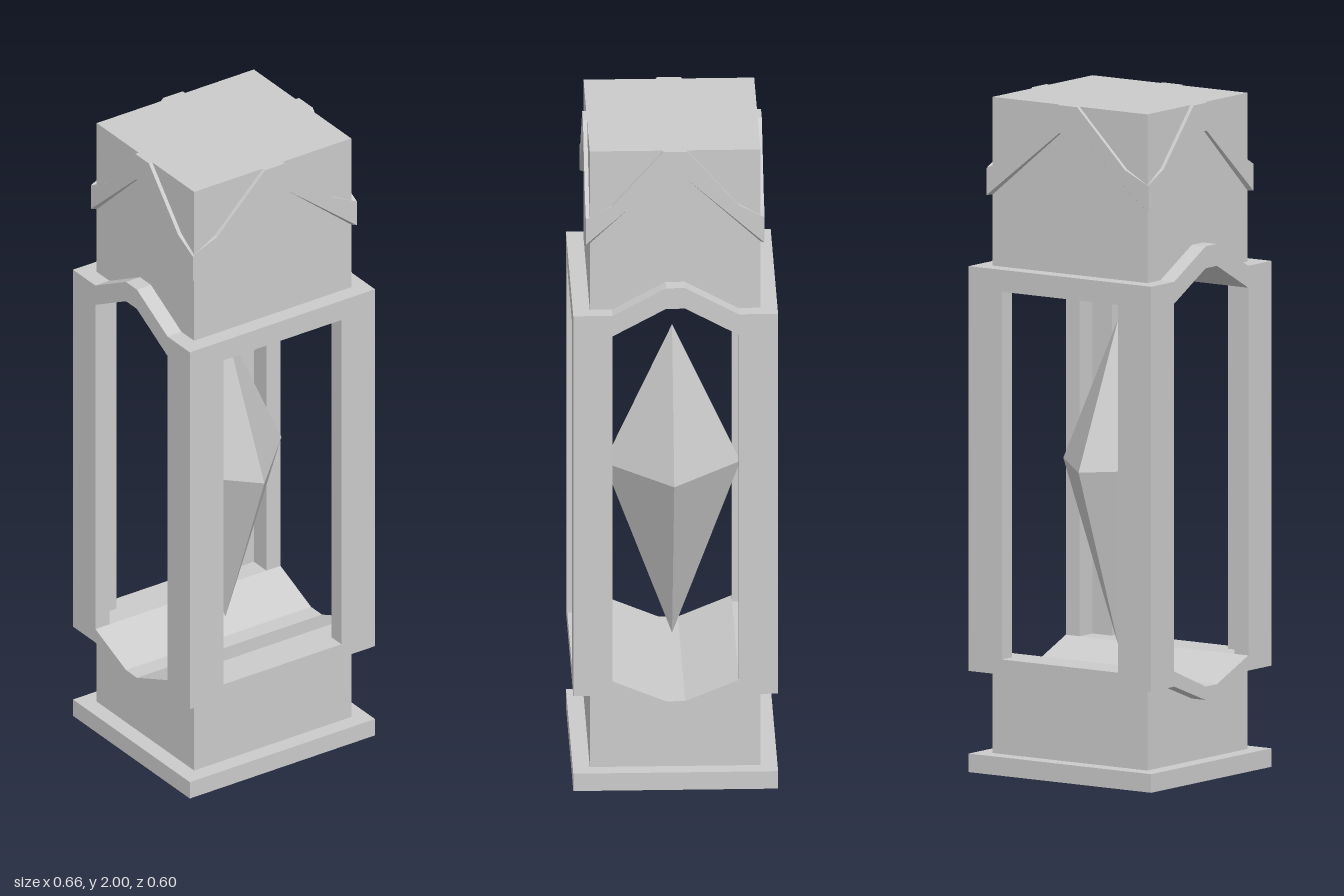
import * as THREE from 'three';

const material = new THREE.MeshStandardMaterial({ color: 0xcccccc, flatShading: true });

// Half sizes of the shaft (X, Z) and of the wider frame and plinth (FX, FZ)
const X = 0.28, Z = 0.25, FX = 0.33, FZ = 0.3;

// Adds the x-mirrored points to a right-hand outline running left to right
const mirrored = (half) => [...half.map(([x, y]) => [-x, y]).reverse(), ...half];
const toVectors = (points) => points.map(([x, y]) => new THREE.Vector2(x, y));

// Extrudes an outline, centred on z = 0
function slab(points, depth, hole) {
  const shape = new THREE.Shape(toVectors(points));
  if (hole) shape.holes.push(new THREE.Path(toVectors(hole)));
  const geometry = new THREE.ExtrudeGeometry(shape, { depth, bevelEnabled: false });
  return geometry.translate(0, 0, -depth / 2);
}

const rect = (w, y0, y1) => [[-w, y0], [w, y0], [w, y1], [-w, y1]];

// Flat line with a raised (or sunken) trapezoid in the middle
const bump = (end, yEnd, yMid) => mirrored([[0.028, yMid], [0.185, yEnd], [end, yEnd]]);

export function createModel() {
  const model = new THREE.Group();
  const add = (name, geometry) => {
    const mesh = new THREE.Mesh(geometry, material);
    mesh.name = name;
    model.add(mesh);
    return mesh;
  };

  // Plinth
  add('plinth', new THREE.BoxGeometry(2 * FX, 0.055, 2 * FZ).translate(0, 0.0275, 0));

  // Shaft blocks, with the floor and ceiling of the chamber shaped along x
  const lower = [[Z, 0.055], [-Z, 0.055], ...bump(Z, 0.345, 0.28)];
  const upper = [[Z, 2], [-Z, 2], ...bump(Z, 1.435, 1.52)];
  add('lowerBlock', slab(lower, 2 * X).rotateY(Math.PI / 2));
  add('upperBlock', slab(upper, 2 * X).rotateY(Math.PI / 2));

  // Frames around the open chamber
  const sideOutline = [...bump(Z, 0.3, 0.24), ...bump(Z, 1.5, 1.585).reverse()];
  const sideHole = [
    ...mirrored([[0.028, 0.28], [0.185, 0.345]]),
    ...mirrored([[0.028, 1.52], [0.185, 1.435]]).reverse(),
  ];
  for (const s of [1, -1]) {
    const front = slab(rect(FX, 0.3, 1.5), FZ - Z, rect(0.21, 0.345, 1.435));
    add(s > 0 ? 'frontFrame' : 'backFrame', front.translate(0, 0, s * (FZ + Z) / 2));
    const side = slab(sideOutline, FX - X, sideHole).rotateY(Math.PI / 2);
    add(s > 0 ? 'leftFrame' : 'rightFrame', side.translate(s * (FX + X) / 2, 0, 0));
  }

  // Chevron band around the top, mitred at the corners
  const chevron = (inner, outer, distance, turn) => {
    const top = mirrored([[0.035, 2], [inner * 0.74, 1.83], [outer, 1.79]]);
    const bottom = mirrored([[0.03, 1.917], [outer, 1.71]]);
    const thickness = 0.012;
    const geometry = slab([...bottom, ...top.reverse()], thickness);
    const p = geometry.attributes.position;
    for (let i = 0; i < p.count; i++) {
      if (p.getZ(i) < 0) p.setX(i, THREE.MathUtils.clamp(p.getX(i), -inner, inner));
    }
    geometry.computeVertexNormals();
    return geometry.translate(0, 0, distance + thickness / 2).rotateY(turn);
  };
  ['frontBand', 'leftBand', 'backBand', 'rightBand'].forEach((name, i) => {
    const [w, d] = i % 2 ? [Z, X] : [X, Z];
    add(name, chevron(w, w + 0.012, d, i * Math.PI / 2));
  });

  // Floating crystal: two four-sided pyramids base to base
  const waist = 0.905, tip = 1.34, foot = 0.365;
  add('crystalTop', new THREE.ConeGeometry(0.2, tip - waist, 4, 1, true)
    .translate(0.005, (tip + waist) / 2, 0));
  add('crystalBottom', new THREE.ConeGeometry(0.2, waist - foot, 4, 1, true)
    .rotateX(Math.PI).translate(0.005, (waist + foot) / 2, 0));

  return model;
}
